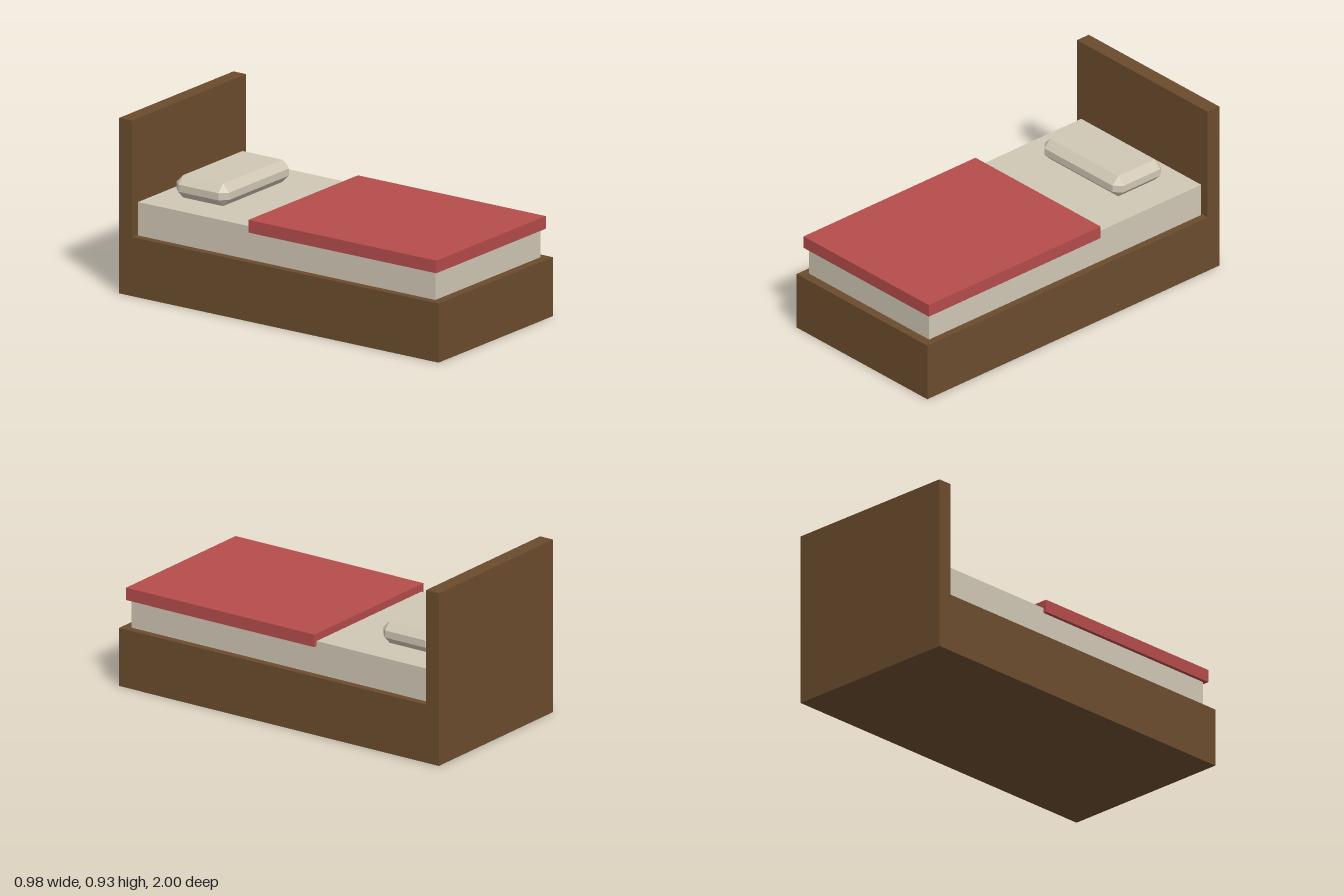
import * as THREE from 'three';
import { ConvexGeometry } from 'three/addons/geometries/ConvexGeometry.js';

const material = (name, color) => {
  const m = new THREE.MeshStandardMaterial({ color });
  m.name = name;
  return m;
};

// Box from its lower and upper corners
function box(name, mat, [x0, y0, z0], [x1, y1, z1]) {
  const mesh = new THREE.Mesh(new THREE.BoxGeometry(x1 - x0, y1 - y0, z1 - z0), mat);
  mesh.position.set((x0 + x1) / 2, (y0 + y1) / 2, (z0 + z1) / 2);
  mesh.name = name;
  return mesh;
}

// Box with every edge and corner cut flat by the same amount
function chamferedBox(w, h, d, cut) {
  const points = [];
  for (const sx of [-1, 1]) for (const sy of [-1, 1]) for (const sz of [-1, 1]) {
    const [x, y, z] = [w / 2, h / 2, d / 2];
    points.push(
      new THREE.Vector3(sx * x, sy * (y - cut), sz * (z - cut)),
      new THREE.Vector3(sx * (x - cut), sy * y, sz * (z - cut)),
      new THREE.Vector3(sx * (x - cut), sy * (y - cut), sz * z));
  }
  return new ConvexGeometry(points);
}

export function createModel() {
  const wood = material('wood', 0x6b4c2d);
  const linen = material('linen', 0xd0c7b4);
  const red = material('red cloth', 0xb54b4b);

  const bed = new THREE.Group();
  bed.name = 'bed';

  // Wooden base and headboard
  bed.add(box('bedFrame', wood, [-0.49, 0, -0.92], [0.49, 0.313, 1]));
  bed.add(box('headboard', wood, [-0.49, 0, -1], [0.49, 0.93, -0.92]));

  // Bedding
  bed.add(box('mattress', linen, [-0.45, 0.313, -0.912], [0.45, 0.49, 0.951]));
  bed.add(box('blanket', red, [-0.47, 0.463, -0.206], [0.47, 0.53, 0.971]));

  const pillow = new THREE.Mesh(chamferedBox(0.59, 0.118, 0.33, 0.04), linen);
  pillow.position.set(0, 0.55, -0.647);
  pillow.name = 'pillow';
  bed.add(pillow);

  return bed;
}
